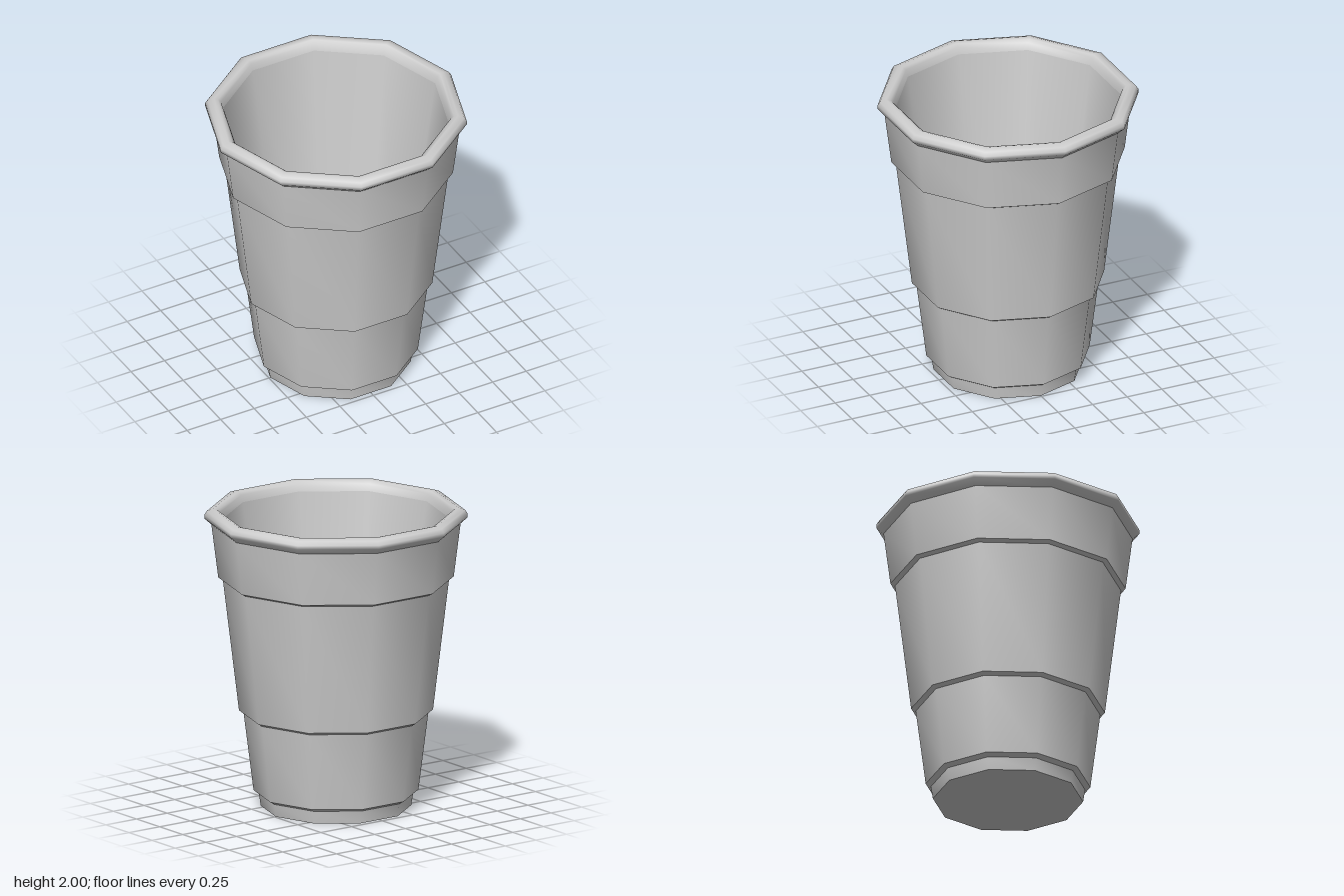
import * as THREE from 'three';
import { toCreasedNormals } from 'three/addons/utils/BufferGeometryUtils.js';

const SIDES = 10;
const material = new THREE.MeshStandardMaterial({ color: 0xcccccc });

// Ten-sided revolve with a corner on the x axis
function revolve(profile) {
  const points = profile.map(([r, y]) => new THREE.Vector2(r, y));
  return new THREE.LatheGeometry(points, SIDES, Math.PI / 2);
}

function disc(radius, y, facing) {
  return new THREE.CircleGeometry(radius, SIDES).rotateX(-facing * Math.PI / 2).translate(0, y, 0);
}

export function createModel() {
  const cup = new THREE.Group();
  cup.name = 'cup';
  const add = (name, geometry) => {
    const mesh = new THREE.Mesh(geometry, material);
    mesh.name = name;
    cup.add(mesh);
  };

  // Tapered outer wall with three stacking steps
  add('outerWall', toCreasedNormals(revolve([
    [0.49, 0], [0.503, 0.085], [0.537, 0.105],
    [0.602, 0.625], [0.632, 0.643],
    [0.737, 1.522], [0.767, 1.538],
    [0.812, 1.895],
  ]), 0.7));

  // Rolled lip
  add('rim', revolve([
    [0.812, 1.895], [0.858, 1.935], [0.858, 1.96], [0.842, 1.985],
    [0.80, 2], [0.775, 1.993], [0.755, 1.975], [0.74, 1.93],
  ]));

  // Smooth inside and its floor
  add('innerWall', revolve([[0.74, 1.93], [0.455, 0.06]]));
  add('floor', disc(0.455, 0.06, 1));

  // Underside
  add('base', disc(0.49, 0, -1));

  return cup;
}
